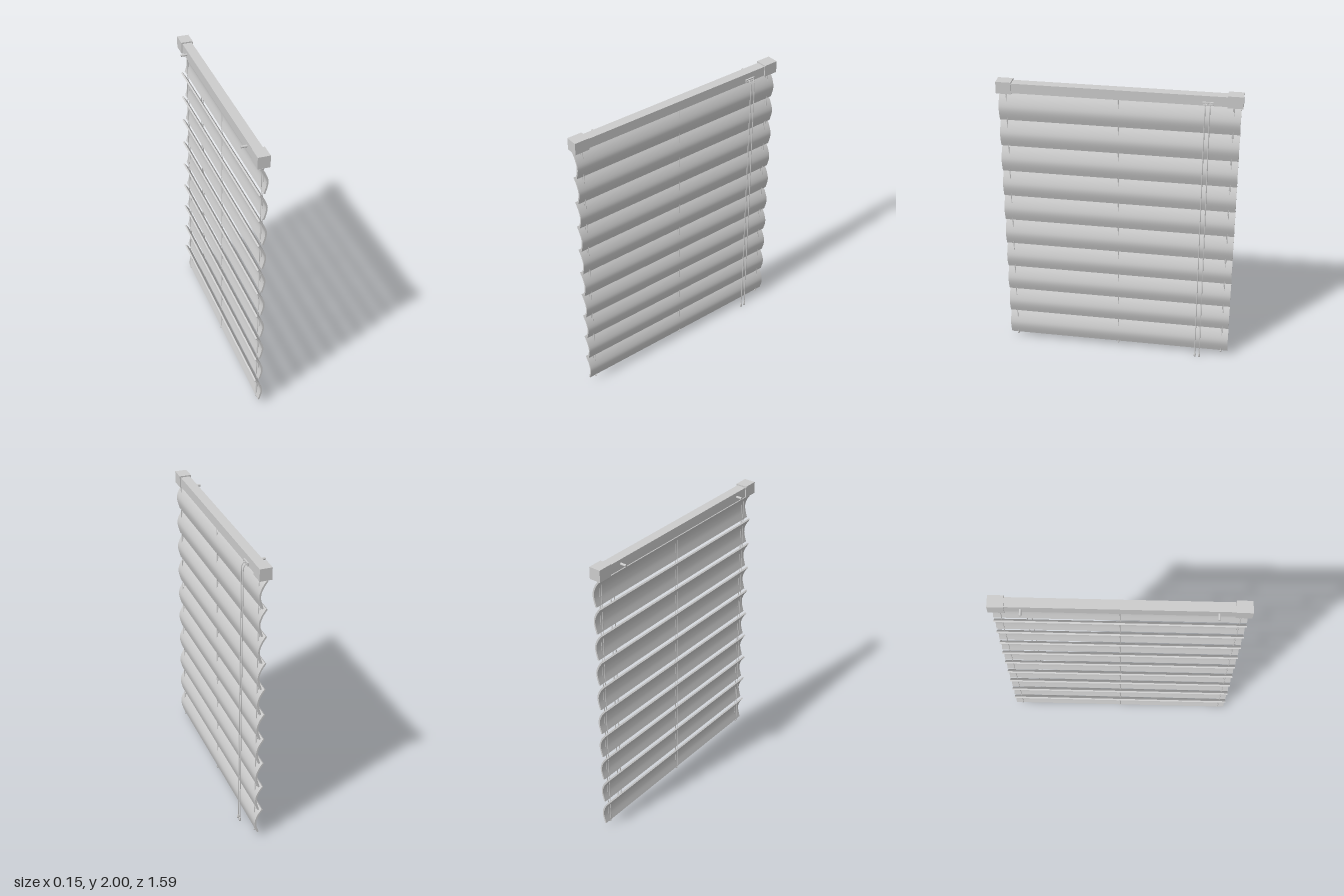
import * as THREE from 'three';
import { toCreasedNormals } from 'three/addons/utils/BufferGeometryUtils.js';

const mat = new THREE.MeshStandardMaterial({ color: 0xcccccc });

function add(parent, name, geo, x = 0, y = 0, z = 0) {
  const m = new THREE.Mesh(geo, mat);
  m.name = name;
  m.position.set(x, y, z);
  parent.add(m);
  return m;
}

const box = (w, h, d) => new THREE.BoxGeometry(w, h, d);

// Curved slat: an arc of constant thickness extruded along z
function slatGeometry(length, thickness) {
  const arc = new THREE.CatmullRomCurve3([
    [-0.018, 0.185], [0.008, 0.147], [0.026, 0.1], [0.026, 0.065], [0.009, 0.003],
  ].map(([x, y]) => new THREE.Vector3(x, y, 0)));
  const outer = [], inner = [];
  for (let i = 0; i <= 12; i++) {
    const p = arc.getPoint(i / 12), t = arc.getTangent(i / 12);
    const h = thickness / 2;
    outer.push(new THREE.Vector2(p.x - t.y * h, p.y + t.x * h));
    inner.unshift(new THREE.Vector2(p.x + t.y * h, p.y - t.x * h));
  }
  const geo = new THREE.ExtrudeGeometry(new THREE.Shape([...outer, ...inner]),
    { depth: length, bevelEnabled: false, steps: 1 });
  geo.translate(0, 0, -length / 2);
  return toCreasedNormals(geo, 0.6);
}

export function createModel() {
  const model = new THREE.Group();
  model.name = 'windowBlind';

  // Head rail with end caps and wall pegs
  add(model, 'headRail', box(0.065, 0.066, 1.5), -0.002, 1.958, 0);
  for (const s of [1, -1]) {
    add(model, 'endCap', box(0.08, 0.08, 0.1), -0.002, 1.96, s * 0.744);
    const peg = add(model, 'wallPeg', new THREE.CylinderGeometry(0.008, 0.008, 0.044, 16), -0.054, 1.96, s * 0.595);
    peg.rotation.z = Math.PI / 2;
  }

  // Slats
  const slat = slatGeometry(1.565, 0.011);
  const slats = new THREE.Group();
  slats.name = 'slats';
  for (let i = 0; i < 10; i++) add(slats, 'slat', slat, 0, 0.036 + i * 0.1878, 0);
  model.add(slats);

  // Ladder cords through the slats, ending in small knobs
  const cord = new THREE.CylinderGeometry(0.0025, 0.0025, 1.9, 8);
  for (const z of [0.735, 0, -0.735]) {
    const ladder = new THREE.Group();
    ladder.name = 'ladderCord';
    add(ladder, 'backCord', cord, 0.006, 0.98, z + 0.003);
    add(ladder, 'frontCord', cord, 0.018, 0.98, z - 0.003);
    const knob = add(ladder, 'cordKnob', new THREE.SphereGeometry(0.009, 12, 8), 0.012, 0.031, z);
    knob.scale.z = 0.8;
    model.add(ladder);
  }

  // Cord guide: a small frame with two openings
  const guide = new THREE.Group();
  guide.name = 'cordGuide';
  for (const y of [1.933, 1.949]) add(guide, 'guideBar', box(0.012, 0.006, 0.068), 0.035, y, -0.57);
  for (const z of [-0.602, -0.57, -0.538]) add(guide, 'guidePost', box(0.012, 0.02, 0.006), 0.035, 1.941, z);
  model.add(guide);

  // Pull cords with tassels
  const path = new THREE.CatmullRomCurve3([
    [0.025, 1.941], [0.045, 1.94], [0.056, 1.928], [0.06, 1.9], [0.0605, 1.8], [0.062, 1], [0.063, 0.03],
  ].map(p => new THREE.Vector3(...p)));
  const pull = new THREE.TubeGeometry(path, 80, 0.0035, 8);
  const tassel = new THREE.LatheGeometry([
    [0, 0], [0.0075, 0.001], [0.008, 0.012], [0.005, 0.026], [0.003, 0.033], [0, 0.033],
  ].map(p => new THREE.Vector2(...p)), 16);
  for (const z of [-0.556, -0.587]) {
    add(model, 'pullCord', pull, 0, 0, z);
    add(model, 'tassel', tassel, 0.063, 0, z);
  }
  return model;
}
